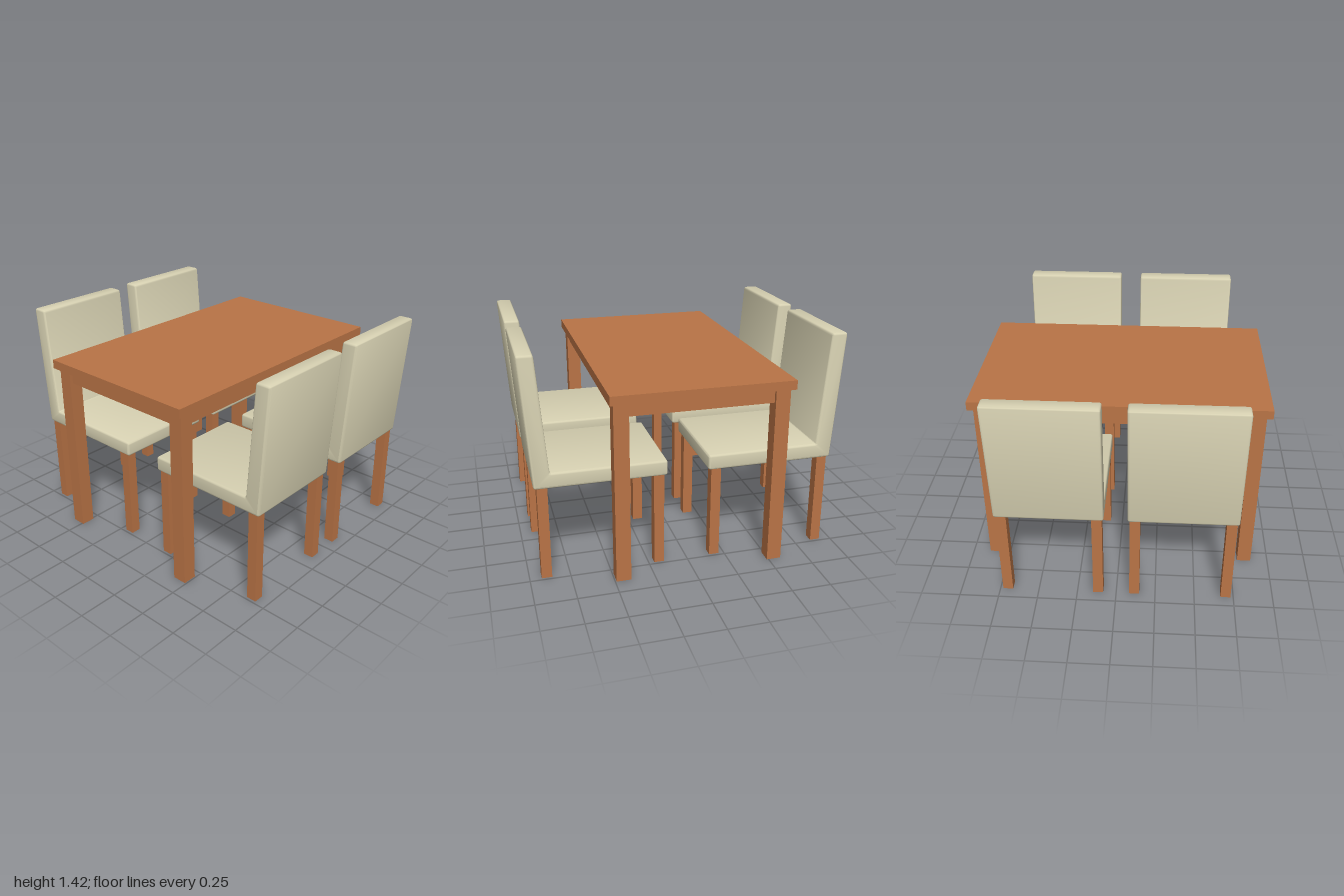
import * as THREE from 'three';
import { toCreasedNormals } from 'three/addons/utils/BufferGeometryUtils.js';

const wood = new THREE.MeshStandardMaterial({ color: 0xba7446 });
wood.name = 'wood';
const cream = new THREE.MeshStandardMaterial({ color: 0xd7d1b2 });
cream.name = 'cream upholstery';

// Box given by its minimum and maximum on each axis
function box(name, [x0, x1], [y0, y1], [z0, z1]) {
  const geometry = new THREE.BoxGeometry(x1 - x0, y1 - y0, z1 - z0);
  const mesh = new THREE.Mesh(geometry, wood);
  mesh.position.set((x0 + x1) / 2, (y0 + y1) / 2, (z0 + z1) / 2);
  mesh.name = name;
  return mesh;
}

// Closed outline whose corners are rounded by each point's own radius
function roundedShape(points) {
  const shape = new THREE.Shape();
  points.forEach(([x, y, r], i) => {
    const corner = new THREE.Vector2(x, y);
    const toward = (j) => {
      const p = points[(j + points.length) % points.length];
      return new THREE.Vector2(p[0], p[1]).sub(corner).setLength(r).add(corner);
    };
    const a = toward(i - 1), b = toward(i + 1);
    if (i === 0) shape.moveTo(a.x, a.y);
    else shape.lineTo(a.x, a.y);
    shape.quadraticCurveTo(x, y, b.x, b.y);
  });
  shape.closePath();
  return shape;
}

// Upholstered seat and leaning back, as one side profile (z, y) swept across x
function shellGeometry(width) {
  const bevel = 0.014;
  const profile = roundedShape([
    [0.13, 0.605, 0.016], [0.945, 0.605, 0.016], [1.0, 1.42, 0.018],
    [0.9, 1.42, 0.018], [0.845, 0.702, 0.008], [0.13, 0.702, 0.018],
  ]);
  const geometry = new THREE.ExtrudeGeometry(profile, {
    depth: width - 2 * bevel, curveSegments: 4, bevelEnabled: true,
    bevelThickness: bevel, bevelSize: bevel, bevelOffset: -bevel, bevelSegments: 3,
  });
  geometry.translate(0, 0, bevel - width / 2);
  geometry.rotateY(-Math.PI / 2);
  // the turn maps profile x to z
  return toCreasedNormals(geometry, 0.7);
}

function createChair(shell) {
  const chair = new THREE.Group();
  const seat = new THREE.Mesh(shell, cream);
  seat.name = 'seatAndBack';
  chair.add(seat);
  for (const x of [-0.292, 0.292]) {
    for (const [name, z] of [['chairInnerLeg', 0.183], ['chairOuterLeg', 0.895]]) {
      chair.add(box(name, [x - 0.032, x + 0.032], [0, 0.61], [z - 0.032, z + 0.032]));
    }
  }
  return chair;
}

function createTable() {
  const table = new THREE.Group();
  table.name = 'table';
  table.add(box('tableTop', [-0.92, 0.92], [1.148, 1.205], [-0.602, 0.516]));
  const legZ = [[-0.58, -0.488], [0.4, 0.492]];
  for (const z of legZ) {
    for (const x of [[-0.886, -0.797], [0.797, 0.886]]) {
      table.add(box('tableLeg', x, [0, 1.148], z));
    }
  }
  // Aprons set slightly in from the outer leg faces
  table.add(box('backApron', [-0.797, 0.797], [1.058, 1.148], [-0.56, -0.52]));
  table.add(box('frontApron', [-0.797, 0.797], [1.058, 1.148], [0.432, 0.472]));
  table.add(box('rightApron', [-0.866, -0.826], [1.058, 1.148], [-0.488, 0.4]));
  table.add(box('leftApron', [0.826, 0.866], [1.058, 1.148], [-0.488, 0.4]));
  return table;
}

export function createModel() {
  const model = new THREE.Group();
  model.name = 'diningSet';
  model.add(createTable());

  // Two chairs on each long side, facing the table
  const shell = shellGeometry(0.672);
  for (const side of ['front', 'back']) {
    for (const x of [-0.408, 0.408]) {
      const chair = createChair(shell);
      chair.name = side + (x > 0 ? 'LeftChair' : 'RightChair');
      chair.position.x = x;
      if (side === 'back') chair.rotation.y = Math.PI;
      model.add(chair);
    }
  }
  return model;
}
